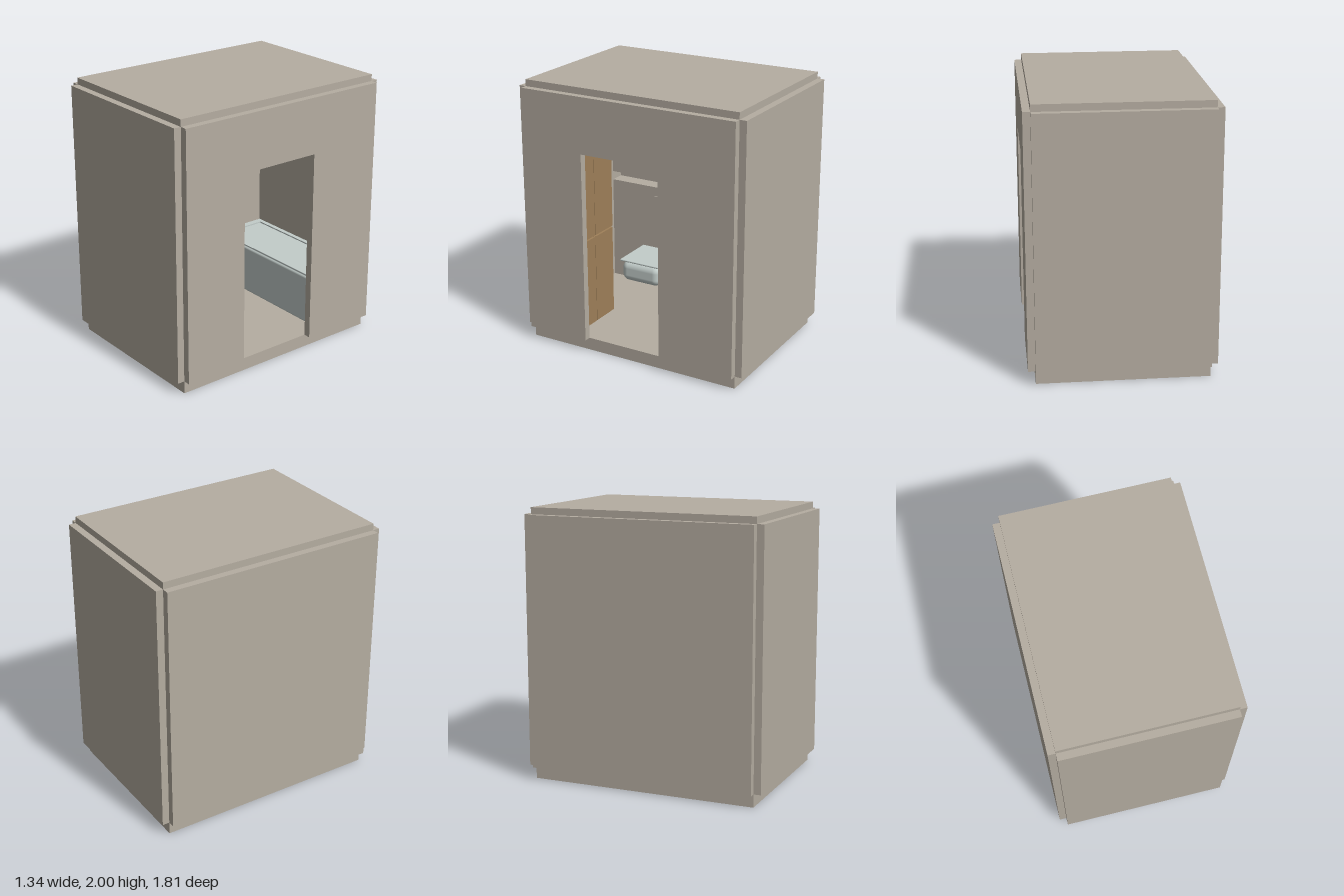
import * as THREE from 'three';
import { RoundedBoxGeometry } from 'three/addons/geometries/RoundedBoxGeometry.js';

export function createModel() {
  const root = new THREE.Group();
  root.name = 'bathroomPod';
  const mat = (name, color) => {
    const m = new THREE.MeshStandardMaterial({ color });
    m.name = name;
    return m;
  };
  const stone = mat('warmGrey', 0xb5ada1);
  const ceramic = mat('paleCeramic', 0xc3cdca);
  const wood = mat('wood', 0x9f8059);

  const add = (name, geo, m, parent = root) => {
    const mesh = new THREE.Mesh(geo, m);
    mesh.name = name;
    parent.add(mesh);
    return mesh;
  };
  // Box given by its limits; a radius rounds it
  const box = (name, m, [x0, x1], [y0, y1], [z0, z1], r = 0, parent = root) => {
    const s = [x1 - x0, y1 - y0, z1 - z0];
    const geo = r ? new RoundedBoxGeometry(...s, 4, r) : new THREE.BoxGeometry(...s);
    geo.translate((x0 + x1) / 2, (y0 + y1) / 2, (z0 + z1) / 2);
    return add(name, geo, m, parent);
  };
  const group = (name) => {
    const g = new THREE.Group();
    g.name = name;
    root.add(g);
    return g;
  };

  const X = 0.617, Z = 0.85, FLOOR = 0.095, CEIL = 1.95;

  // Shell: slabs, and walls standing just outside the slab edges
  box('floorSlab', stone, [-X, X], [0, FLOOR], [-Z, Z]);
  box('roofSlab', stone, [-X, X], [CEIL, 2], [-Z, Z]);
  box('frontWall', stone, [-X, X], [FLOOR, CEIL], [Z, 0.903]);
  box('backWall', stone, [-X, X], [FLOOR, CEIL], [-0.903, -Z]);
  box('rightWall', stone, [-0.67, -X], [FLOOR, CEIL], [-Z, Z]);

  // Left wall with the doorway cut out (shape runs along -z)
  const wall = new THREE.Shape([
    [-Z, FLOOR], [-0.36, FLOOR], [-0.36, 1.535], [0.265, 1.535],
    [0.265, FLOOR], [Z, FLOOR], [Z, CEIL], [-Z, CEIL],
  ].map(([u, v]) => new THREE.Vector2(u, v)));
  const wallGeo = new THREE.ExtrudeGeometry(wall, { depth: 0.053, bevelEnabled: false });
  wallGeo.rotateY(Math.PI / 2).translate(X, 0, 0);
  add('doorwayWall', wallGeo, stone);

  // Service wall behind the toilet, split by a narrow niche
  box('lowerServiceWall', stone, [-X, -0.5], [FLOOR, 0.92], [0.175, Z]);
  box('upperServiceWall', stone, [-X, -0.5], [0.99, CEIL], [0.175, Z]);

  // Wall-hung toilet
  const toilet = group('toilet');
  box('toiletBowl', ceramic, [-0.5, -0.14], [0.23, 0.395], [0.22, 0.56], 0.055, toilet);
  box('toiletSeat', ceramic, [-0.49, -0.135], [0.397, 0.412], [0.215, 0.565], 0.006, toilet);
  box('flushPlate', stone, [-0.5, -0.49], [0.75, 0.847], [0.322, 0.458], 0, toilet);

  // Vanity with basin, tap and mirror
  const vanity = group('vanity');
  box('vanityCabinet', wood, [-X, -0.3], [0.335, 0.678], [-0.295, 0.113], 0, vanity);
  box('vanityTop', ceramic, [-X, -0.295], [0.678, 0.693], [-0.297, 0.115], 0, vanity);
  box('basin', ceramic, [-0.55, -0.32], [0.693, 0.72], [-0.24, 0.058], 0.009, vanity);
  const tapPath = new THREE.CatmullRomCurve3([
    [-0.57, 0.69], [-0.57, 0.785], [-0.55, 0.803], [-0.47, 0.803],
  ].map(([x, y]) => new THREE.Vector3(x, y, -0.085)), false, 'catmullrom', 0.2);
  add('tap', new THREE.TubeGeometry(tapPath, 24, 0.008, 10), ceramic, vanity);
  box('mirror', ceramic, [-X, -0.609], [0.853, 1.75], [-0.295, 0.113], 0, vanity);

  // Bathtub across the back wall, with a low rim
  const tub = group('bathtub');
  box('tubBody', ceramic, [-0.61, 0.61], [FLOOR, 0.48], [-Z, -0.4], 0.02, tub);
  const rect = (S, w, d) => new S([
    [-w, -d], [w, -d], [w, d], [-w, d],
  ].map(([x, y]) => new THREE.Vector2(x, y)));
  const rim = rect(THREE.Shape, 0.6, 0.215);
  rim.holes.push(rect(THREE.Path, 0.55, 0.18));
  const rimGeo = new THREE.ExtrudeGeometry(rim, { depth: 0.012, bevelEnabled: false });
  rimGeo.rotateX(-Math.PI / 2).translate(0, 0.478, -0.625);
  add('tubRim', rimGeo, ceramic, tub);

  // Tall cupboard on the front wall with four doors
  const cupboard = group('cupboard');
  box('cupboardBody', wood, [0.11, 0.6], [FLOOR, 1.945], [0.49, Z], 0, cupboard);
  for (const [x0, x1] of [[0.11, 0.343], [0.347, 0.6]]) {
    for (const [y0, y1] of [[0.1, 0.785], [0.797, 1.945]]) {
      box('cupboardDoor', wood, [x0, x1], [y0, y1], [0.47, 0.49], 0, cupboard);
    }
  }

  return root;
}
